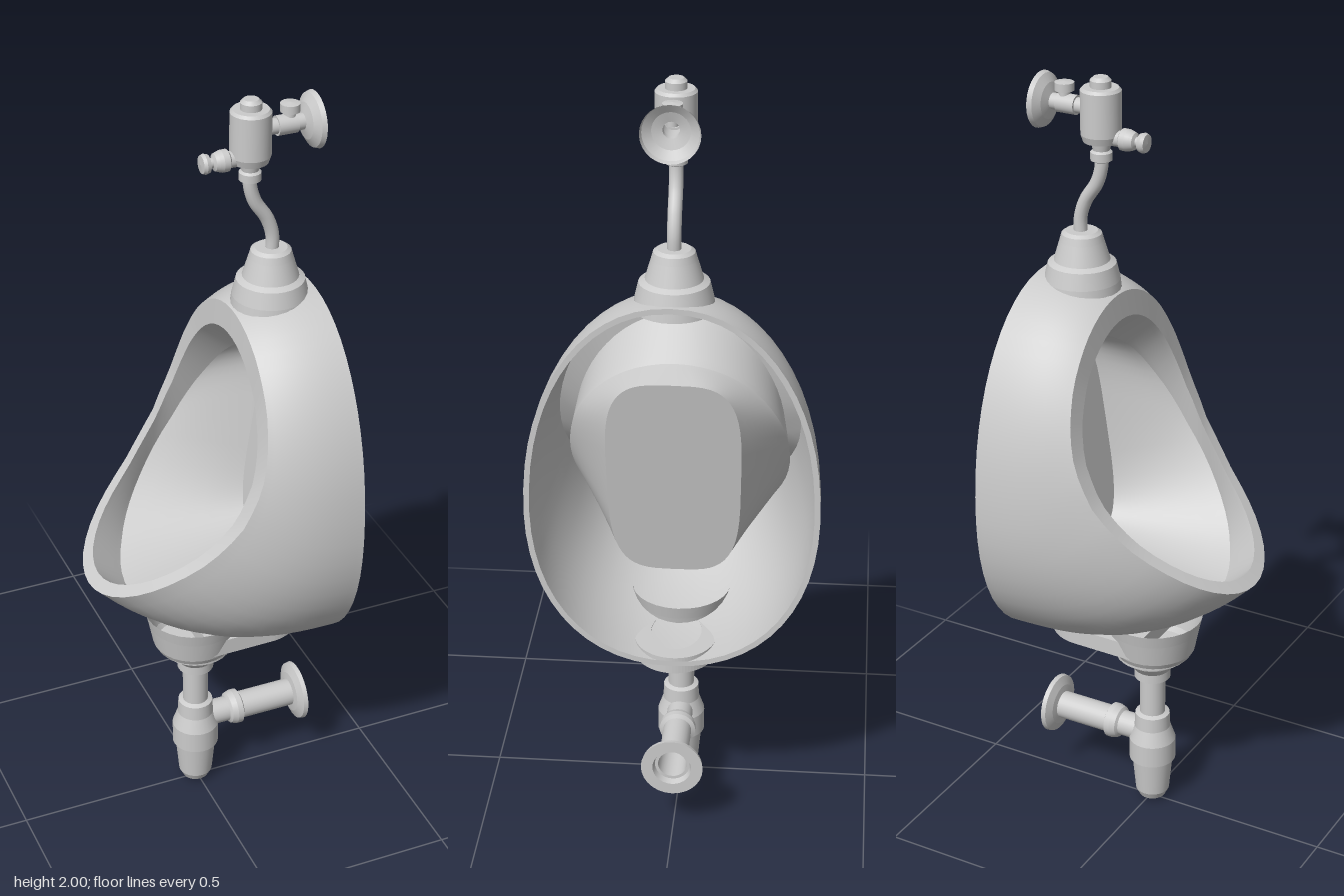
import * as THREE from 'three';

const grey = new THREE.MeshStandardMaterial({ color: 0xcccccc, side: THREE.DoubleSide });
const v2 = (a) => a.map(([x, y]) => new THREE.Vector2(x, y));

// Linear lookup through [key, value] pairs
function lookup(pairs, k) {
  for (let i = 1; i < pairs.length; i++) {
    const [k0, a] = pairs[i - 1], [k1, b] = pairs[i];
    if (k <= k1) return a + (b - a) * Math.max(0, (k - k0) / (k1 - k0));
  }
  return pairs[pairs.length - 1][1];
}

// Closed surface from a rule f(u, v) -> [x, y, z]; u wraps around
function loft(nu, nv, f) {
  const pos = [], idx = [];
  for (let j = 0; j <= nv; j++)
    for (let i = 0; i < nu; i++) pos.push(...f(i / nu, j / nv));
  for (let j = 0; j < nv; j++)
    for (let i = 0; i < nu; i++) {
      const a = j * nu + i, b = j * nu + (i + 1) % nu;
      idx.push(a, b, a + nu, b, b + nu, a + nu);
    }
  const g = new THREE.BufferGeometry();
  g.setAttribute('position', new THREE.Float32BufferAttribute(pos, 3));
  g.setIndex(idx);
  g.computeVertexNormals();
  return g;
}

// Egg-shaped loop in the y-z plane, starting at the bottom; power below 1 squares it off
function egg(u, low, high, half, taper, power = 1) {
  const a = u * Math.PI * 2;
  const bend = (s) => Math.sign(s) * Math.pow(Math.abs(s), power);
  const c = bend(-Math.cos(a));
  return [(low + high) / 2 + c * (high - low) / 2, half * bend(Math.sin(a)) * (1 - taper * c)];
}

const rimX = [[0.74, -0.3], [0.78, -0.25], [0.82, -0.2], [0.9, -0.1], [0.96, -0.045], [1.02, 0], [1.12, 0.045],
  [1.2, 0.065], [1.3, 0.08], [1.4, 0.087], [1.46, 0.09]];
const bellyX = [[0.685, -0.19], [0.73, -0.15], [0.85, -0.06], [1, 0.045], [1.15, 0.13], [1.3, 0.19]];

function rimOuter(u) {
  const [y, z] = egg(u, 0.74, 1.455, 0.302, 0.06);
  return [lookup(rimX, y), y, z];
}
function rimInner(u) {
  const [y, z] = egg(u, 0.765, 1.39, 0.262, 0.06);
  return [lookup(rimX, y) - 0.005, y, z];
}
function belly(u) {
  const [y, z] = egg(u, 0.685, 1.305, 0.277, 0.03, 0.95);
  return [lookup(bellyX, y), y, z];
}
// Outline of the flat, slightly leaning back panel
function panelEdge(u) {
  const [y, z] = egg(u, 0.73, 1.285, 0.165, -0.03, 0.55);
  return [0.18 + (y - 0.73) * 0.16, y, z];
}
function backEdge(u, inset = 0) {
  const [y, z] = egg(u, 0.515 + inset, 1.495 - inset, 0.36 - inset, 0.07, 0.92);
  return [0.295, y, z];
}
const mix = (a, b, t) => a.map((p, i) => p + (b[i] - p) * t);

export function createModel() {
  const root = new THREE.Group();
  const add = (name, geo, x = 0, y = 0, z = 0) => {
    const m = new THREE.Mesh(geo, grey);
    m.name = name;
    m.position.set(x, y, z);
    root.add(m);
    return m;
  };
  // Turned part; every band keeps a crisp edge
  const turned = (name, profile, x, y = 0, alongX = false) => {
    const pts = [];
    profile.forEach((p, i) => { pts.push(p); if (i && i < profile.length - 1) pts.push(p); });
    const m = add(name, new THREE.LatheGeometry(v2(pts), 28), x, y);
    if (alongX) m.rotation.z = -Math.PI / 2;
    return m;
  };

  // Ceramic body
  add('outerShell', loft(56, 16, (u, t) => {
    const a = rimOuter(u), b = backEdge(u), f = 1 - Math.pow(1 - t, 2.7);
    return [a[0] + (b[0] - a[0]) * t, a[1] + (b[1] - a[1]) * f, a[2] + (b[2] - a[2]) * f];
  }));
  add('backEdge', loft(56, 1, (u, t) => backEdge(u, 0.014 * t)));
  add('bowlRim', loft(56, 1, (u, t) => mix(rimOuter(u), rimInner(u), t)));

  // Bowl: front wall down to the belly, then floor and sides closing on a flat back panel
  add('bowlWall', loft(56, 6, (u, t) => mix(rimInner(u), belly(u), t)));
  add('bowlFloorAndSides', loft(56, 6, (u, t) => mix(belly(u), panelEdge(u), t)));
  add('bowlBack', loft(56, 4, (u, t) => mix(panelEdge(u), [0.224, 1.0075, 0], t)));

  // Drain housing under the bowl
  turned('outletNeck', [[0.128, 0.575], [0.12, 0.54], [0.108, 0.48], [0.1, 0.465], [0, 0.465]], -0.01);
  const tray = new THREE.Shape();
  tray.moveTo(-0.01, -0.108);
  tray.lineTo(0.17, -0.105);
  tray.absellipse(0.17, 0, 0.112, 0.105, -Math.PI / 2, Math.PI / 2, false);
  tray.lineTo(-0.01, 0.108);
  const hole = new THREE.Path();
  hole.absellipse(0.15, 0, 0.09, 0.065, 0, Math.PI * 2, true);
  tray.holes.push(hole);
  const trayGeo = new THREE.ExtrudeGeometry(tray, { depth: 0.045, bevelEnabled: false, curveSegments: 20 });
  trayGeo.rotateX(-Math.PI / 2);
  add('drainTray', trayGeo, 0, 0.485);

  // Waste pipe and bottle trap
  turned('wasteFitting', [[0, 0.468], [0.095, 0.468], [0.095, 0.455], [0.072, 0.45], [0.068, 0.435], [0.048, 0.41],
    [0.048, 0.385], [0.034, 0.38], [0.034, 0.26]], -0.005);
  turned('bottleTrap', [[0.034, 0.275], [0.046, 0.27], [0.048, 0.23], [0.062, 0.19], [0.062, 0.13], [0.054, 0.125],
    [0.045, 0.03], [0.035, 0.01], [0, 0]], -0.005);
  turned('wallWastePipe', [[0.034, 0.03], [0.034, 0.085], [0.042, 0.09], [0.047, 0.105], [0.047, 0.12], [0.037, 0.125],
    [0.037, 0.272], [0.055, 0.275], [0.078, 0.285], [0.08, 0.297], [0.05, 0.297], [0.045, 0.28], [0.037, 0.28],
    [0.034, 0.125]], 0, 0.205, true);

  // Inlet collar on top of the bowl
  turned('inletCollar', [[0.098, 1.455], [0.095, 1.48], [0.085, 1.522], [0.07, 1.53], [0.055, 1.58], [0.05, 1.598],
    [0.04, 1.605], [0, 1.605]], 0.193);

  // Bent supply pipe
  const path = new THREE.CatmullRomCurve3([[0.195, 1.58], [0.195, 1.64], [0.18, 1.685], [0.148, 1.735], [0.135, 1.78],
    [0.135, 1.85]].map(([x, y]) => new THREE.Vector3(x, y, 0)));
  add('supplyPipe', new THREE.TubeGeometry(path, 30, 0.017, 14));

  // Flush valve; its wall flange is an open dish
  turned('valveBody', [[0.017, 1.79], [0.027, 1.795], [0.027, 1.815], [0.021, 1.82], [0.024, 1.835], [0.044, 1.842],
    [0.05, 1.86], [0.05, 1.968], [0.044, 1.975], [0.026, 1.975], [0.026, 1.992], [0.018, 2], [0, 2]], 0.135);
  turned('valveWallPipe', [[0.019, 0.16], [0.019, 0.2], [0.024, 0.2], [0.024, 0.25], [0.02, 0.25], [0.02, 0.268],
    [0.045, 0.275], [0.066, 0.288], [0.07, 0.3]], 0, 1.92, true);
  turned('stopKnob', [[0.014, 1.92], [0.014, 1.95], [0.024, 1.952], [0.024, 1.972], [0, 1.975]], 0.235);
  turned('pushButton', [[0, 0.008], [0.022, 0.01], [0.025, 0.018], [0.022, 0.028], [0.012, 0.03], [0.012, 0.038],
    [0.021, 0.042], [0.024, 0.05], [0.027, 0.06], [0.027, 0.075], [0.02, 0.08], [0.02, 0.11]], 0, 1.855, true);
  return root;
}
